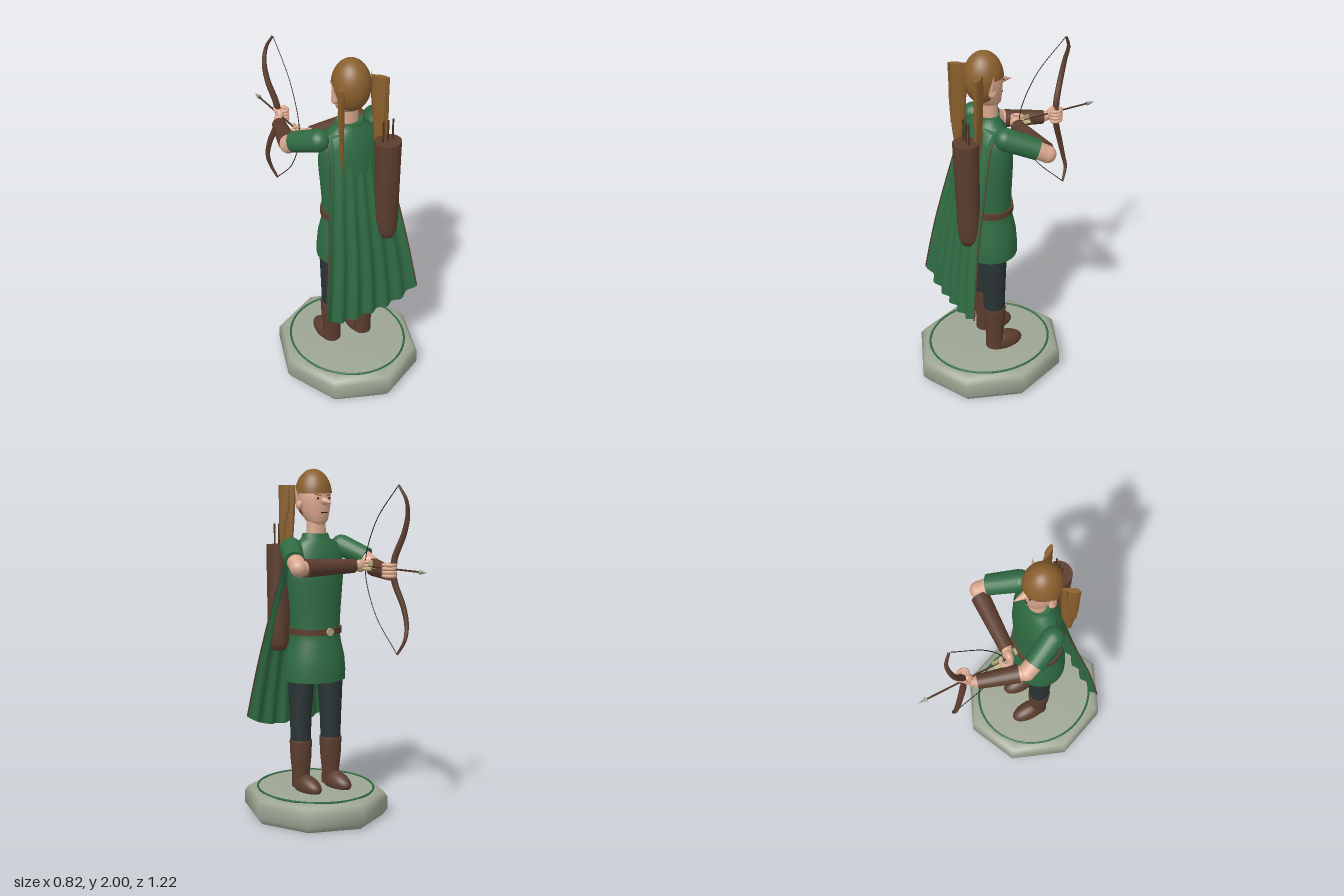
import * as THREE from 'three';

const V = (x, y, z) => new THREE.Vector3(x, y, z);
const mat = (name, color, side = THREE.FrontSide) => {
  const m = new THREE.MeshStandardMaterial({ color, side });
  m.name = name;
  return m;
};

export function createModel() {
  const root = new THREE.Group();
  root.name = 'archer';
  const green = mat('green cloth', 0x2f6b43, THREE.DoubleSide);
  const leather = mat('brown leather', 0x5c3d2e);
  const wood = mat('dark wood', 0x4a3020);
  const skin = mat('skin', 0xd9a78e);
  const hair = mat('hair', 0x8a5f2d, THREE.DoubleSide);
  const slate = mat('dark trousers', 0x2a3436);
  const stone = mat('pale stone', 0x9da593);
  const gold = mat('pale gold', 0xb5ac7c, THREE.DoubleSide);
  const dark = mat('dark features', 0x2c2220);

  const add = (name, geo, m, parent = root) => {
    const mesh = new THREE.Mesh(geo, m);
    mesh.name = name;
    parent.add(mesh);
    return mesh;
  };
  // Loft of elliptical rings [y, rx, rz, zCentre, xCentre]; a repeated ring makes a crisp edge
  const loft = (rings, seg = 28) => {
    const pos = [], idx = [];
    rings.forEach(([y, rx, rz, zc = 0, xc = 0]) => {
      for (let j = 0; j < seg; j++) {
        const a = (j / seg) * Math.PI * 2;
        pos.push(xc + rx * Math.sin(a), y, zc + rz * Math.cos(a));
      }
    });
    for (let i = 0; i < rings.length - 1; i++) for (let j = 0; j < seg; j++) {
      const k = (j + 1) % seg, a = i * seg + j, b = i * seg + k;
      idx.push(a, b, b + seg, a, b + seg, a + seg);
    }
    const g = new THREE.BufferGeometry();
    g.setAttribute('position', new THREE.Float32BufferAttribute(pos, 3));
    g.setIndex(idx);
    g.computeVertexNormals();
    return g;
  };
  const limb = (name, a, b, r1, r2, m, seg = 20) => {
    const mesh = add(name, new THREE.CylinderGeometry(r2, r1, a.distanceTo(b), seg), m);
    mesh.position.copy(a).lerp(b, 0.5);
    mesh.quaternion.setFromUnitVectors(V(0, 1, 0), b.clone().sub(a).normalize());
    return mesh;
  };
  const ball = (name, p, rx, ry, rz, m) => {
    const mesh = add(name, new THREE.SphereGeometry(1, 20, 14), m);
    mesh.position.copy(p);
    mesh.scale.set(rx, ry, rz);
    return mesh;
  };
  const tube = (name, pts, r, m, seg = 32, sides = 8) =>
    add(name, new THREE.TubeGeometry(new THREE.CatmullRomCurve3(pts), seg, r, sides), m);

  // Eight-sided stone plinth with a painted ring
  const bz = 0.17;
  add('base', loft([[0, 0, 0, bz], [0, 0.385, 0.415, bz], [0, 0.385, 0.415, bz], [0.035, 0.41, 0.442, bz],
    [0.11, 0.41, 0.442, bz], [0.14, 0.39, 0.42, bz], [0.155, 0.345, 0.375, bz], [0.155, 0, 0, bz]], 8), stone);
  const ring = add('baseRing', new THREE.TorusGeometry(0.33, 0.006, 6, 64), green);
  ring.rotation.x = Math.PI / 2;
  ring.scale.y = 1.08;
  ring.position.set(0, 0.157, bz);

  // Boots and legs, one foot slightly ahead
  for (const [s, z] of [[1, 0.185], [-1, 0.148]]) {
    const x = s * 0.095;
    add('leg', loft([[0.42, 0.056, 0.06, z, x], [0.6, 0.062, 0.066, z, x], [0.86, 0.078, 0.08, z, x * 0.93]]), slate);
    add('bootShaft', loft([[0.17, 0.052, 0.052, z, x], [0.25, 0.052, 0.05, z, x], [0.34, 0.06, 0.062, z, x],
      [0.44, 0.064, 0.067, z, x], [0.45, 0.062, 0.065, z, x], [0.45, 0.062, 0.065, z, x], [0.45, 0, 0, z, x]]), leather);
    const foot = new THREE.SphereGeometry(1, 24, 16);
    const p = foot.attributes.position;
    for (let i = 0; i < p.count; i++) {
      const back = p.getZ(i) * 0.5 + 0.5;
      p.setXYZ(i, x + p.getX(i) * 0.057, 0.157 + Math.max(0, p.getY(i) + 0.35) * (0.055 + 0.022 * back),
        z - 0.065 + p.getZ(i) * 0.112);
    }
    foot.computeVertexNormals();
    add('bootFoot', foot, leather);
  }

  // Tunic, belt and buckle
  add('tunic', loft([[0.8, 0, 0, 0.17], [0.8, 0.185, 0.16, 0.172], [0.8, 0.185, 0.16, 0.172], [0.86, 0.186, 0.16, 0.172],
    [0.94, 0.178, 0.152, 0.17], [1.02, 0.158, 0.133, 0.168], [1.08, 0.15, 0.122, 0.168], [1.2, 0.158, 0.124, 0.168],
    [1.38, 0.175, 0.128, 0.167], [1.5, 0.175, 0.115, 0.165], [1.58, 0.145, 0.09, 0.165],
    [1.61, 0.09, 0.068, 0.165], [1.64, 0.078, 0.062, 0.165], [1.64, 0.078, 0.062, 0.165], [1.64, 0, 0, 0.165]]), green);
  add('belt', loft([[1.07, 0.15, 0.12, 0.168], [1.07, 0.163, 0.135, 0.168], [1.07, 0.163, 0.135, 0.168],
    [1.105, 0.163, 0.135, 0.168], [1.105, 0.163, 0.135, 0.168], [1.105, 0.15, 0.12, 0.168]]), leather);
  const buckle = add('buckle', new THREE.CylinderGeometry(0.022, 0.022, 0.012, 16), gold);
  buckle.rotation.x = Math.PI / 2;
  buckle.position.set(0, 1.088, 0.029);

  // Neck, face and features
  add('neck', loft([[1.6, 0.06, 0.052, 0.155], [1.76, 0.052, 0.05, 0.16]]), skin);
  add('face', loft([[1.685, 0, 0, 0.14], [1.69, 0.035, 0.035, 0.14], [1.715, 0.062, 0.066, 0.152], [1.77, 0.083, 0.088, 0.17],
    [1.83, 0.092, 0.099, 0.178], [1.9, 0.09, 0.095, 0.18], [1.95, 0.05, 0.06, 0.18], [1.96, 0, 0, 0.18]]), skin);
  const nose = add('nose', new THREE.ConeGeometry(0.026, 0.08, 12), skin);
  nose.rotation.x = -Math.PI / 2 - 0.15;
  nose.position.set(0, 1.817, 0.052);
  for (const s of [-1, 1]) {
    ball('eye', V(s * 0.036, 1.838, 0.09), 0.014, 0.006, 0.004, dark).rotation.y = s * 0.4;
    const brow = add('brow', new THREE.BoxGeometry(0.036, 0.006, 0.008), hair);
    brow.position.set(s * 0.037, 1.857, 0.088);
    brow.rotation.set(0, -s * 0.4, s * 0.2);
    ball('earLobe', V(s * 0.1, 1.8, 0.183), 0.018, 0.027, 0.022, skin);
    const ear = add('earTip', new THREE.ConeGeometry(0.02, 0.11, 10), skin);
    ear.scale.x = 0.6;
    ear.position.set(s * 0.113, 1.855, 0.188);
    ear.rotation.z = -s * 0.2;
  }
  const mouth = add('mouth', new THREE.BoxGeometry(0.042, 0.006, 0.008), dark);
  mouth.position.set(0, 1.758, 0.083);

  // Hair: crown, back of the head and long flat locks
  const cap = (name, geo) => {
    const m = add(name, geo, hair);
    m.position.set(0, 1.855, 0.182);
    m.scale.set(0.104, 0.145, 0.108);
  };
  cap('hairCrown', new THREE.SphereGeometry(1, 32, 12, 0, Math.PI * 2, 0, 1.5));
  cap('hairBack', new THREE.SphereGeometry(1, 24, 20, 0, Math.PI, 1.3, 1.84));
  for (const s of [-1, 1]) for (const [dx, dz, end, w] of [[0, 0, 1.4, 0.047], [0.018, 0.012, 1.56, 0.035]]) {
    const lock = add('hairLock', loft([[end, 0.002, 0.008, 0.02], [end + 0.15, 0.011, w * 0.75, 0.008],
      [1.78, 0.012, w * 0.95], [1.91, 0.01, w], [1.91, 0.01, w], [1.91, 0, 0]], 8), hair);
    lock.position.set(s * (0.112 + dx), 0, 0.272 + dz);
    lock.rotation.y = s * 0.5;
  }

  // Cape: folded sheet widening toward a scalloped hem
  const capeRows = [[1.6, 0.145, 0.235], [1.5, 0.163, 0.272], [1.35, 0.185, 0.3], [1.15, 0.217, 0.335],
    [0.9, 0.254, 0.378], [0.7, 0.283, 0.4], [0.54, 0.305, 0.412]];
  const cols = 48, cape = new THREE.PlaneGeometry(1, 1, cols, capeRows.length - 1);
  const cp = cape.attributes.position;
  const capePoint = (r, u) => {
    const [y, w, z] = capeRows[r], t = r / (capeRows.length - 1);
    return V(u * w, y - t * 0.04 * (1 - Math.abs(u) ** 3) + t * 0.03 * Math.abs(u) ** 4,
      z + t * 0.013 * Math.cos(u * 19) - (1 - t) * 0.05 * u * u);
  };
  for (let i = 0; i < cp.count; i++) {
    const v = capePoint(Math.floor(i / (cols + 1)), ((i % (cols + 1)) / cols) * 2 - 1);
    cp.setXYZ(i, v.x, v.y, v.z);
  }
  cape.computeVertexNormals();
  add('cape', cape, green);
  for (const s of [-1, 1]) tube('capeEdge', capeRows.map((_, r) => capePoint(r, s)), 0.004, leather, 24, 6);

  // Quiver with spare arrows
  add('quiver', loft([[0.955, 0, 0, 0.35, 0.13], [0.96, 0.038, 0.045, 0.35, 0.13], [1, 0.056, 0.06, 0.35, 0.129],
    [1.08, 0.063, 0.063, 0.352, 0.127], [1.57, 0.073, 0.068, 0.357, 0.119], [1.57, 0.073, 0.068, 0.357, 0.119],
    [1.57, 0, 0, 0.357, 0.119]]), leather);
  for (const x of [0.09, 0.12, 0.15]) limb('spareArrow', V(x, 1.5, 0.352), V(x, 1.69, 0.352), 0.005, 0.005, wood, 8);

  // Arms: sleeve, elbow, bracer
  const arm = (shoulder, cuff, elbow, b1, b2) => {
    ball('shoulder', shoulder, 0.06, 0.06, 0.06, green);
    limb('sleeve', shoulder, cuff, 0.062, 0.057, green);
    limb('upperArm', cuff.clone().lerp(shoulder, 0.3), elbow, 0.05, 0.047, skin);
    ball('elbow', elbow, 0.048, 0.048, 0.048, skin);
    limb('forearm', elbow, b2, 0.042, 0.03, skin);
    limb('bracer', b1, b2, 0.051, 0.039, leather);
  };
  arm(V(0.18, 1.565, 0.155), V(0.265, 1.505, 0.005), V(0.275, 1.47, -0.045), V(0.235, 1.47, -0.055), V(-0.088, 1.465, -0.07));
  arm(V(-0.18, 1.565, 0.155), V(-0.245, 1.5, 0.005), V(-0.25, 1.46, -0.04), V(-0.235, 1.45, -0.075), V(-0.168, 1.435, -0.285));

  // Hands with curled fingers
  limb('bowWrist', V(-0.17, 1.435, -0.28), V(-0.15, 1.45, -0.32), 0.03, 0.026, skin);
  ball('bowPalm', V(-0.14, 1.46, -0.325), 0.024, 0.042, 0.03, skin);
  limb('drawWrist', V(-0.08, 1.465, -0.07), V(-0.125, 1.465, -0.08), 0.03, 0.025, skin);
  ball('drawPalm', V(-0.13, 1.465, -0.08), 0.038, 0.036, 0.024, skin);
  for (let i = 0; i < 4; i++) {
    const y = 1.428 + i * 0.02;
    tube('bowFinger', [V(-0.14, y, -0.32), V(-0.1, y, -0.31), V(-0.088, y, -0.34), V(-0.11, y, -0.37), V(-0.14, y, -0.365)], 0.01, skin, 14);
    if (i) tube('drawFinger', [V(-0.14, y, -0.075), V(-0.175, y, -0.09), V(-0.17, y, -0.125), V(-0.14, y, -0.135), V(-0.125, y, -0.12)], 0.01, skin, 14);
  }
  tube('bowThumb', [V(-0.14, 1.47, -0.32), V(-0.155, 1.495, -0.35), V(-0.135, 1.5, -0.37)], 0.01, skin, 10);

  // Recurved bow: tapering limbs mirrored about the grip
  const gy = 1.46;
  for (const s of [-1, 1]) {
    const pts = [[-0.135, 0, -0.35], [-0.142, 0.07, -0.357], [-0.168, 0.2, -0.4], [-0.17, 0.3, -0.425],
      [-0.15, 0.38, -0.433], [-0.125, 0.457, -0.4]].map(([x, y, z]) => V(x, gy + s * y, z));
    const curve = new THREE.CatmullRomCurve3(pts);
    const g = new THREE.TubeGeometry(curve, 40, 0.018, 10), p = g.attributes.position, v = V(0, 0, 0);
    for (let i = 0; i < p.count; i++) {
      const t = Math.floor(i / 11) / 40, c = curve.getPointAt(t);
      v.fromBufferAttribute(p, i).sub(c).multiplyScalar(1 - 0.65 * t * t).add(c);
      p.setXYZ(i, v.x, v.y, v.z);
    }
    g.computeVertexNormals();
    add('bowLimb', g, leather);
  }
  tube('bowString', [V(-0.125, 1.917, -0.4), V(-0.132, 1.71, -0.205), V(-0.138, 1.46, -0.112), V(-0.132, 1.21, -0.205), V(-0.125, 1.003, -0.4)], 0.0025, dark, 40, 6);

  // Nocked arrow
  const ay = 1.465, ax = -0.138;
  limb('arrowShaft', V(ax, ay, -0.1), V(ax, ay, -0.57), 0.005, 0.005, wood, 8);
  limb('arrowHead', V(ax, ay, -0.56), V(ax, ay, -0.613), 0.013, 0.0005, stone, 8);
  for (let i = 0; i < 3; i++) {
    const a = (i * Math.PI * 2) / 3;
    const f = add('fletching', new THREE.BoxGeometry(0.003, 0.025, 0.06), gold);
    f.position.set(ax - Math.sin(a) * 0.016, ay + Math.cos(a) * 0.016, -0.145);
    f.rotation.z = a;
  }
  return root;
}
